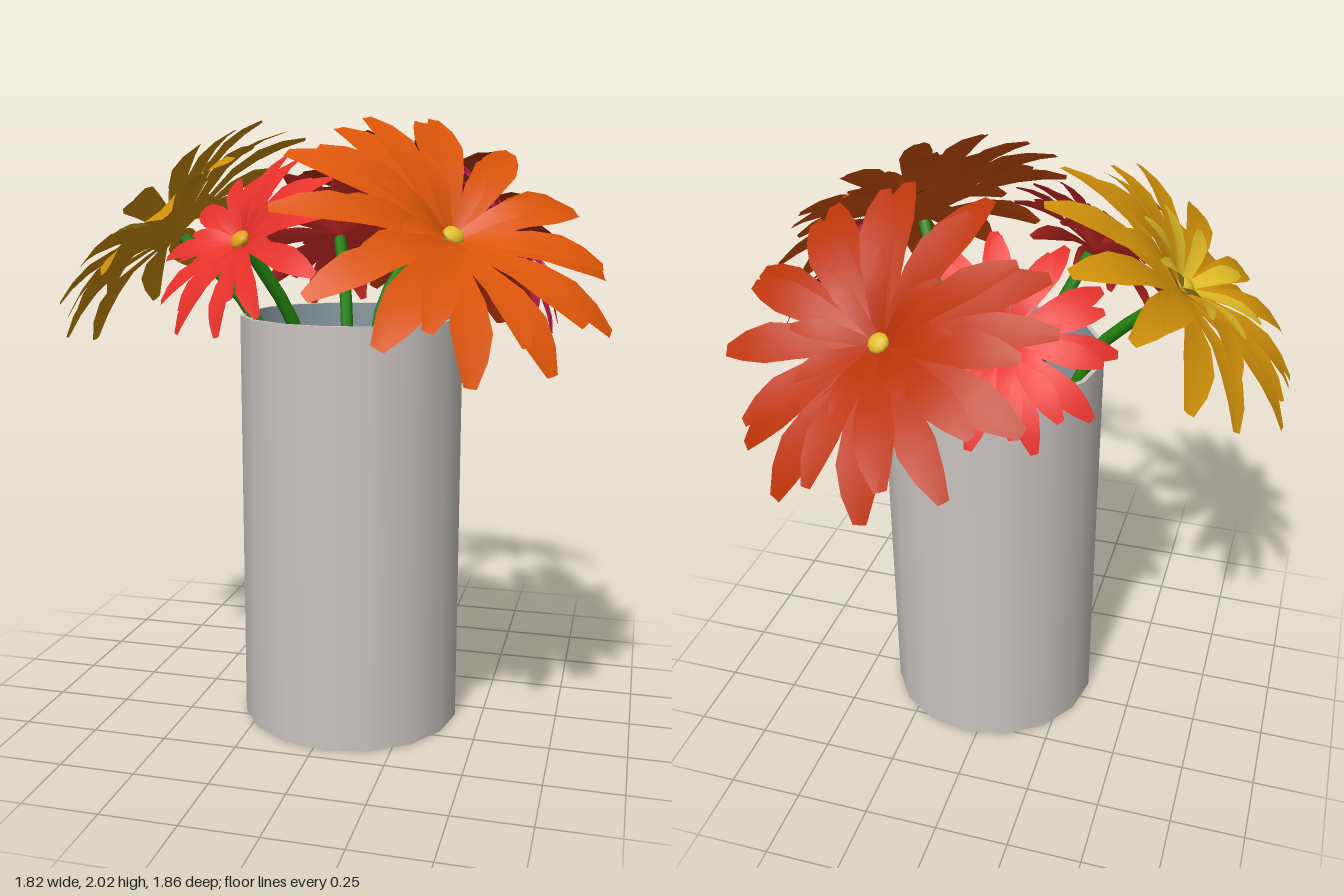
import * as THREE from 'three';
import { mergeGeometries } from 'three/addons/utils/BufferGeometryUtils.js';

const mat = (name, color, side = THREE.FrontSide) => {
  const m = new THREE.MeshStandardMaterial({ color, side });
  m.name = name;
  return m;
};

// Small seeded generator for petal variation
let seed = 7;
const rand = () => {
  seed = (seed * 16807) % 2147483647;
  return seed / 2147483647;
};

// One blade along +z: [distance, half width, height] as fractions of its size
const SECTIONS = [
  [0, 0.28, 0], [0.25, 0.58, 0.55], [0.5, 0.86, 0.95],
  [0.7, 1, 0.85], [0.86, 0.74, 0.45], [1, 0.3, -0.15],
];
function petal(length, halfWidth, arch) {
  const pos = [], index = [];
  SECTIONS.forEach(([t, w, h], i) => {
    const x = w * halfWidth, y = h * arch, z = t * length;
    pos.push(-x, y, z, 0, y - x * 0.1, z, x, y, z);
    if (i === 0) return;
    const a = (i - 1) * 3;
    for (const k of [a, a + 1]) index.push(k, k + 3, k + 1, k + 1, k + 3, k + 4);
  });
  const g = new THREE.BufferGeometry();
  g.setAttribute('position', new THREE.Float32BufferAttribute(pos, 3));
  g.setIndex(index);
  g.computeVertexNormals();
  return g;
}

// A ring of petals; tilt lifts the tips away from the back of the flower
function petalRing(count, length, halfWidth, arch, tilt, lift, phase) {
  const parts = [];
  for (let i = 0; i < count; i++) {
    const g = petal(length * (0.93 + 0.07 * rand()), halfWidth * (0.88 + 0.22 * rand()), arch);
    g.rotateX(-tilt + (rand() - 0.5) * 0.1);
    g.translate(0, lift, 0);
    g.rotateY(((i + phase + (rand() - 0.5) * 0.3) / count) * Math.PI * 2);
    parts.push(g);
  }
  return mergeGeometries(parts);
}

const VASE = { x: 0.038, z: 0.076, r: 0.372, h: 1.39, sides: 16 };

export function createModel() {
  seed = 7;
  const two = THREE.DoubleSide;
  const ceramic = mat('ceramic grey', 0xcac4c0);
  const liner = mat('blue grey inside', 0x8b9ca3);
  const green = mat('stem green', 0x22800c);
  const orange = mat('orange', 0xdc5508, two);
  const rust = mat('rust', 0xbb3409, two);
  const gold = mat('gold', 0xd4930a, two);
  const red = mat('red', 0xe6302a, two);
  const magenta = mat('magenta', 0xcc1c50, two);
  const yellow = mat('yellow', 0xe0bc26, two);
  const amber = mat('amber', 0xe3a016);

  const model = new THREE.Group();
  const add = (parent, name, geometry, material) => {
    const mesh = new THREE.Mesh(geometry, material);
    mesh.name = name;
    parent.add(mesh);
    return mesh;
  };

  // Vase: wall, base, thin rim and inside
  const vase = new THREE.Group();
  vase.name = 'vase';
  vase.position.set(VASE.x, 0, VASE.z);
  model.add(vase);
  const { r, h, sides } = VASE, ri = r - 0.016;
  const wall = new THREE.CylinderGeometry(r, r, h, sides, 1, true);
  add(vase, 'vaseWall', wall, ceramic).position.y = h / 2;
  add(vase, 'vaseBase', new THREE.CircleGeometry(r, sides).rotateX(Math.PI / 2), ceramic);
  const rim = new THREE.RingGeometry(ri, r, sides).rotateX(-Math.PI / 2);
  add(vase, 'vaseRim', rim, ceramic).position.y = h;
  // The profile runs downwards so that its faces look inwards
  const inside = [[ri, h], [ri, 0.041], [ri, 0.04], [0, 0.04]].map(([x, y]) => new THREE.Vector2(x, y));
  add(vase, 'vaseInside', new THREE.LatheGeometry(inside, sides), liner);

  // Flowers: head position, size, stem position at the rim and at the foot
  const flowers = [
    { name: 'orangeFlower', m: orange, big: true, head: [0.43, 1.65, 0.5], rim: [0.27, 1.36, 0.27], foot: [-0.04, 0.24] },
    { name: 'rustFlower', m: rust, big: true, head: [0.19, 1.65, -0.5], rim: [0.06, 1.36, -0.25], foot: [0.15, 0.05] },
    { name: 'goldFlower', m: gold, inner: yellow, big: true, head: [-0.55, 1.65, 0.12], rim: [-0.27, 1.36, 0.15], foot: [0, -0.04] },
    { name: 'frontRedFlower', m: red, head: [-0.21, 1.63, 0.43], rim: [-0.09, 1.36, 0.3], foot: [0.09, 0.1] },
    { name: 'backRedFlower', m: red, head: [-0.11, 1.63, -0.33], rim: [-0.03, 1.36, -0.12], foot: [0.02, 0.14] },
    { name: 'magentaFlower', m: magenta, head: [0.515, 1.63, 0.06], rim: [0.29, 1.36, 0.06], foot: [0.07, 0.06] },
  ];

  for (const f of flowers) {
    const flower = new THREE.Group();
    flower.name = f.name;
    model.add(flower);

    const head = new THREE.Vector3(...f.head);
    const elevation = THREE.MathUtils.degToRad(f.big ? 47 : 39);
    const normal = new THREE.Vector3(head.x - VASE.x, 0, head.z - VASE.z).normalize()
      .multiplyScalar(Math.cos(elevation)).setY(Math.sin(elevation));

    // Stem rising from the vase floor and bending out to the flower
    const foot = new THREE.Vector3(f.foot[0], 0.05, f.foot[1]);
    const bend = new THREE.Vector3(...f.rim);
    const path = new THREE.CatmullRomCurve3([
      foot, foot.clone().lerp(bend, 0.5), bend,
      head.clone().addScaledVector(normal, -0.02),
    ], false, 'centripetal');
    add(flower, 'stem', new THREE.TubeGeometry(path, 18, 0.022, 7), green);

    // Head: three rings of petals, each more upright, around a small button
    const bloom = new THREE.Group();
    bloom.name = 'bloom';
    bloom.position.copy(head);
    const side = new THREE.Vector3(0, 1, 0).cross(normal).normalize();
    bloom.quaternion.setFromRotationMatrix(
      new THREE.Matrix4().makeBasis(side, normal, side.clone().cross(normal)));
    flower.add(bloom);
    const R = f.big ? 0.545 : 0.355, w = f.big ? 0.064 : 0.041, n = f.big ? 12 : 11;
    add(bloom, 'outerPetals', petalRing(n, R, w, R * 0.1, -0.03, 0, 0.5), f.m);
    add(bloom, 'middlePetals', petalRing(n - 1, R * 0.87, w * 0.92, R * 0.09, 0.17, 0.004, 0), f.m);
    add(bloom, 'innerPetals', petalRing(8, R * 0.52, w * 0.55, R * 0.05, 0.4, 0.008, 0.2), f.inner || f.m);
    const button = new THREE.SphereGeometry(0.034, 10, 6).scale(1, 0.6, 1);
    add(bloom, 'button', button, f.big ? yellow : amber).position.y = 0.028;
  }
  return model;
}
